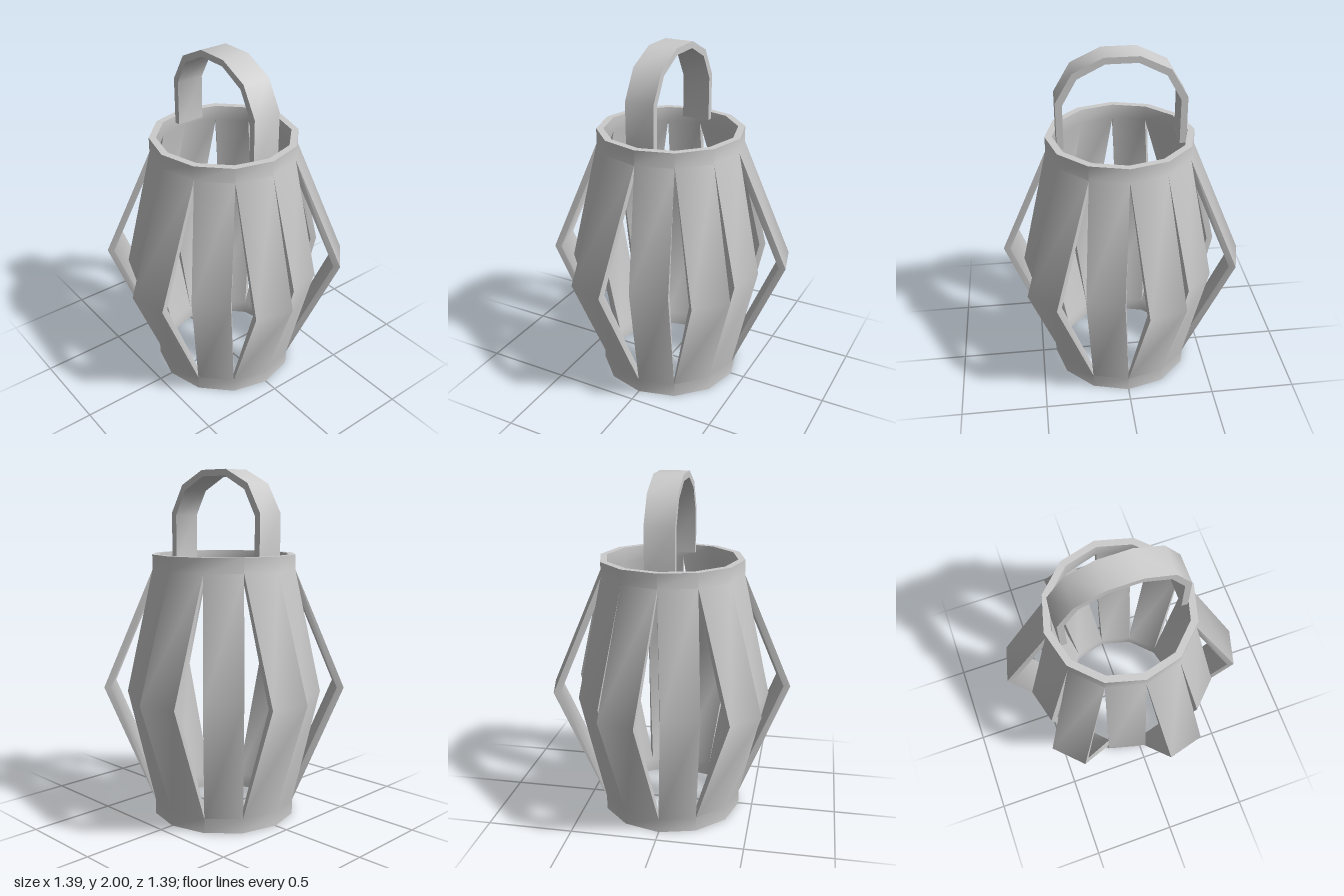
import * as THREE from 'three';
import { toCreasedNormals } from 'three/addons/utils/BufferGeometryUtils.js';

const SIDES = 12, STEP = (Math.PI * 2) / SIDES;
const RADIUS = 0.417, WALL = 0.04;
const ROWS = [0, 0.085, 0.765, 1.445, 1.53]; // rim, slot end, fold, slot end, rim
const FOLD = 2;

// Corner of strip k: side 0 or 1, height row, outer or inner skin
function corner(k, side, row, inner) {
  const inset = inner ? WALL : 0;
  if (row !== FOLD) {
    const a = (k + side) * STEP, r = RADIUS - inset;
    return [r * Math.cos(a), ROWS[row], r * Math.sin(a)];
  }
  // at the fold, strips keep their width and alternate between short and long
  const a = (k + 0.5) * STEP;
  const r = (k % 2 ? 0.692 : 0.567) - inset;
  const t = (side ? 1 : -1) * RADIUS * Math.sin(STEP / 2);
  return [r * Math.cos(a) - t * Math.sin(a), ROWS[row], r * Math.sin(a) + t * Math.cos(a)];
}

function bodyGeometry() {
  const pos = [];
  const quad = (a, b, c, d) => pos.push(...a, ...b, ...c, ...a, ...c, ...d);

  for (let k = 0; k < SIDES; k++) {
    const p = (side, row, inner = false) => corner(k, side, row, inner);
    for (let r = 0; r < ROWS.length - 1; r++) {
      // outer and inner skin
      quad(p(1, r), p(0, r), p(0, r + 1), p(1, r + 1));
      quad(p(0, r, true), p(1, r, true), p(1, r + 1, true), p(0, r + 1, true));
      // cut edges along the slots
      if (r === 1 || r === 2) {
        quad(p(1, r, true), p(1, r), p(1, r + 1), p(1, r + 1, true));
        quad(p(0, r), p(0, r, true), p(0, r + 1, true), p(0, r + 1));
      }
    }
    // top and bottom rims
    quad(p(1, 4), p(0, 4), p(0, 4, true), p(1, 4, true));
    quad(p(0, 0), p(1, 0), p(1, 0, true), p(0, 0, true));
  }

  const g = new THREE.BufferGeometry();
  g.setAttribute('position', new THREE.Float32BufferAttribute(pos, 3));
  g.computeVertexNormals();
  return toCreasedNormals(g, Math.PI / 3);
}

// Flat strap bent into an arch over the z axis
function handleGeometry() {
  const outer = [[0.355, 1.49], [0.355, 1.76], [0.262, 1.92], [0.095, 2]];
  const inner = [[0.318, 1.49], [0.318, 1.745], [0.238, 1.888], [0.088, 1.964]];
  const mirror = (pts) => pts.map(([x, y]) => [-x, y]).reverse();
  const loop = [...outer, ...mirror(outer), ...mirror(inner).reverse(), ...inner.slice().reverse()];
  const shape = new THREE.Shape(loop.map(([x, y]) => new THREE.Vector2(x, y)));
  const g = new THREE.ExtrudeGeometry(shape, { depth: 0.166, bevelEnabled: false });
  g.translate(0, 0, -0.083);
  g.rotateY(-Math.PI / 2);
  return toCreasedNormals(g, Math.PI / 4);
}

export function createModel() {
  const paper = new THREE.MeshStandardMaterial({ color: 0xcccccc });
  paper.name = 'grey paper';

  const group = new THREE.Group();
  group.name = 'paperLantern';

  const body = new THREE.Mesh(bodyGeometry(), paper);
  body.name = 'slottedBody';
  const handle = new THREE.Mesh(handleGeometry(), paper);
  handle.name = 'handle';

  group.add(body, handle);
  return group;
}
